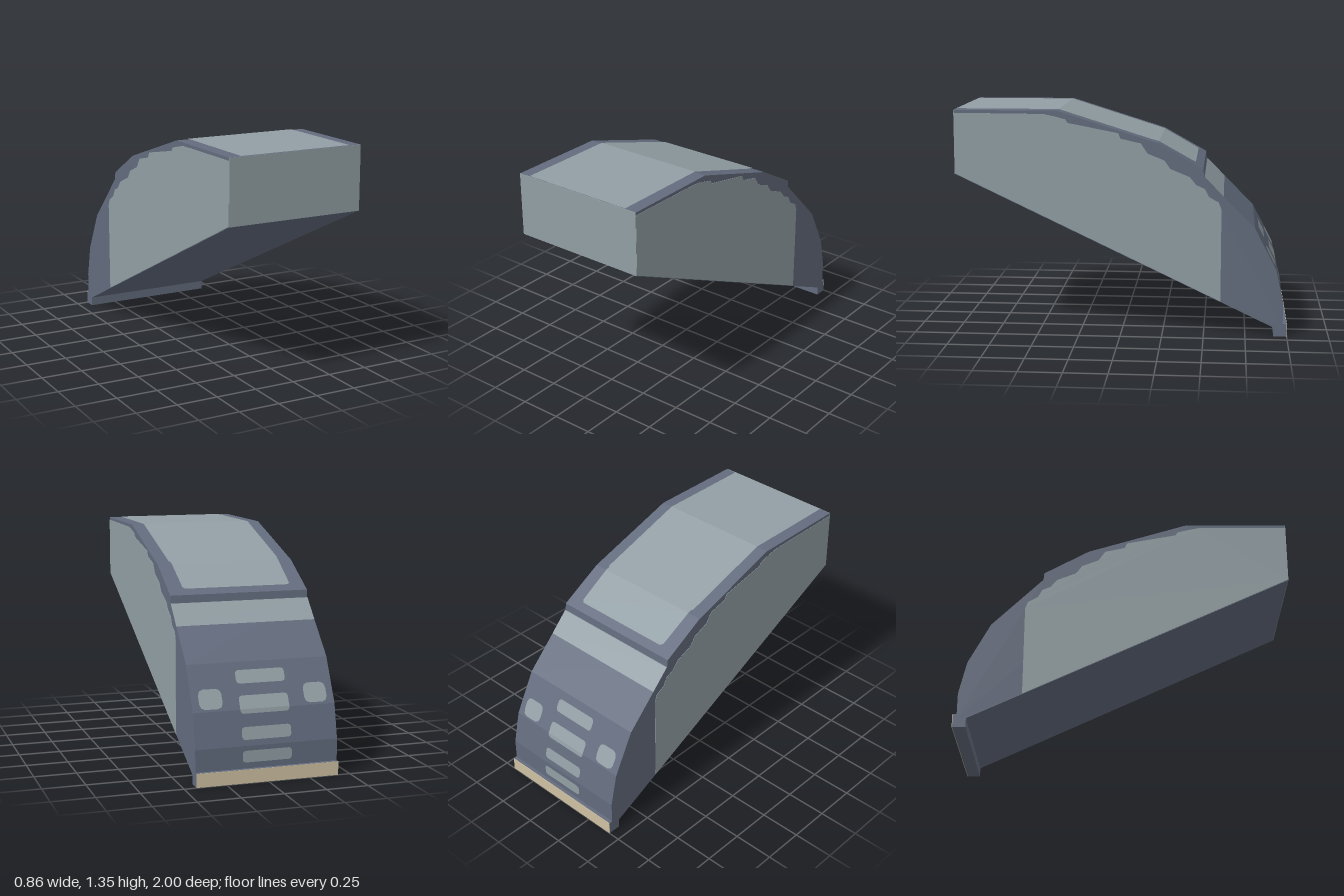
import * as THREE from 'three';

const HALF = 0.427; // half width of the body

function material(name, color) {
  const m = new THREE.MeshStandardMaterial({ color });
  m.name = name;
  return m;
}

export function createModel() {
  const blue = material('slate blue', 0x636c7e);
  const grey = material('pale grey', 0x929fa4);
  const tan = material('tan', 0xcfc2a3);
  const group = new THREE.Group();

  function add(name, geometry, mat, x = 0, y = 0, z = 0) {
    const mesh = new THREE.Mesh(geometry, mat);
    mesh.name = name;
    mesh.position.set(x, y, z);
    group.add(mesh);
  }

  // Extrude a [z, y] outline across x, centred on x = 0
  function slab(points, width) {
    const shape = new THREE.Shape(points.map(([z, y]) => new THREE.Vector2(z, y)));
    return new THREE.ExtrudeGeometry(shape, { depth: width, bevelEnabled: false })
      .rotateY(-Math.PI / 2).translate(width / 2, 0, 0);
  }

  // Thin skin through rows of [z, y, half width], listed from top/front to bottom/back
  function skin(rows, lift = 0.003) {
    const pos = [];
    for (let i = 0; i < rows.length - 1; i++) {
      const [[z0, y0, w0], [z1, y1, w1]] = [rows[i], rows[i + 1]];
      const a = [-w0, y0 + lift, z0 - lift], b = [w0, y0 + lift, z0 - lift];
      const c = [w1, y1 + lift, z1 - lift], d = [-w1, y1 + lift, z1 - lift];
      pos.push(...a, ...b, ...c, ...a, ...c, ...d);
    }
    const g = new THREE.BufferGeometry();
    g.setAttribute('position', new THREE.Float32BufferAttribute(pos, 3));
    g.computeVertexNormals();
    return g;
  }

  // Body shell: stepped wedge with a faceted nose
  const nose = [[-0.495, 0.965], [-0.80, 0.66], [-0.93, 0.41], [-0.975, 0.21], [-0.975, 0.05]];
  const roof = [[0.38, 1.35], [-0.22, 1.162], [-0.49, 1.01]];
  add('body', slab([[0.998, 0.965], [0.998, 1.35], ...roof, ...nose, [-0.92, 0.055]], HALF * 2), blue);

  // Bumper with a tan outer face
  add('bumper', new THREE.BoxGeometry(HALF * 2, 0.08, 0.078), blue, 0, 0.04, -0.959);
  add('bumperFace', new THREE.BoxGeometry(HALF * 2, 0.08, 0.003), tan, 0, 0.04, -0.9985);

  // Flat front face
  add('frontPanel', new THREE.BoxGeometry(HALF * 2, 0.385, 0.004), grey, 0, 1.1575, 0.998);

  // Side panels with a scalloped upper edge
  const side = [
    [0.998, 0.969], [0.998, 1.333], [0.46, 1.33], [0.395, 1.316], [0.33, 1.30], [0.315, 1.278],
    [0.015, 1.22], [0, 1.187], [-0.12, 1.16], [-0.16, 1.10], [-0.26, 1.06], [-0.295, 1.01],
    [-0.41, 0.963], [-0.45, 0.915], [-0.50, 0.893], [-0.525, 0.845], [-0.583, 0.813],
    [-0.60, 0.77], [-0.60, 0.21],
  ];
  for (const s of [1, -1]) {
    add(s > 0 ? 'leftPanel' : 'rightPanel', slab(side, 0.004), grey, s * HALF);
  }

  // Roof panel following the roof folds
  add('roofPanel', skin([
    [1, 1.35, 0.352], [0.38, 1.35, 0.352], [-0.19, 1.171, 0.349], [-0.191, 1.171, 0.341],
    [-0.22, 1.162, 0.341], [-0.425, 1.046, 0.335], [-0.44, 1.038, 0.32],
  ]), grey);

  // Window band below the step
  add('windowBand', skin([[-0.497, 0.963, HALF], [-0.61, 0.847, HALF]], 0.002), grey);

  // Rounded panel lying on the nose between two heights
  function nosePanel(name, top, bottom, half, x, r) {
    const rows = [];
    for (const t of [0, 0.3, 1]) {
      const w = half - r + r * Math.sqrt(1 - (1 - t) ** 2);
      rows.push([top - r * t, w], [bottom + r * t, w]);
    }
    for (const [, y] of nose) if (y < top - r && y > bottom + r) rows.push([y, half]);
    rows.sort((p, q) => q[0] - p[0]);
    const placed = rows.map(([y, w]) => {
      const i = nose.findIndex((p, k) => k > 0 && p[1] <= y);
      const [[z0, y0], [z1, y1]] = [nose[i - 1], nose[i]];
      return [z0 + (z1 - z0) * (y0 - y) / (y0 - y1), y, w];
    });
    add(name, skin(placed), grey, x);
  }

  // Grille slots
  [[0.614, 0.543], [0.481, 0.385], [0.312, 0.241], [0.18, 0.112]].forEach(([t, b], i) =>
    nosePanel('grilleSlot' + (i + 1), t, b, 0.148, 0, 0.018));

  // Headlights
  nosePanel('leftHeadlight', 0.525, 0.42, 0.069, 0.315, 0.03);
  nosePanel('rightHeadlight', 0.525, 0.42, 0.069, -0.315, 0.03);

  return group;
}
